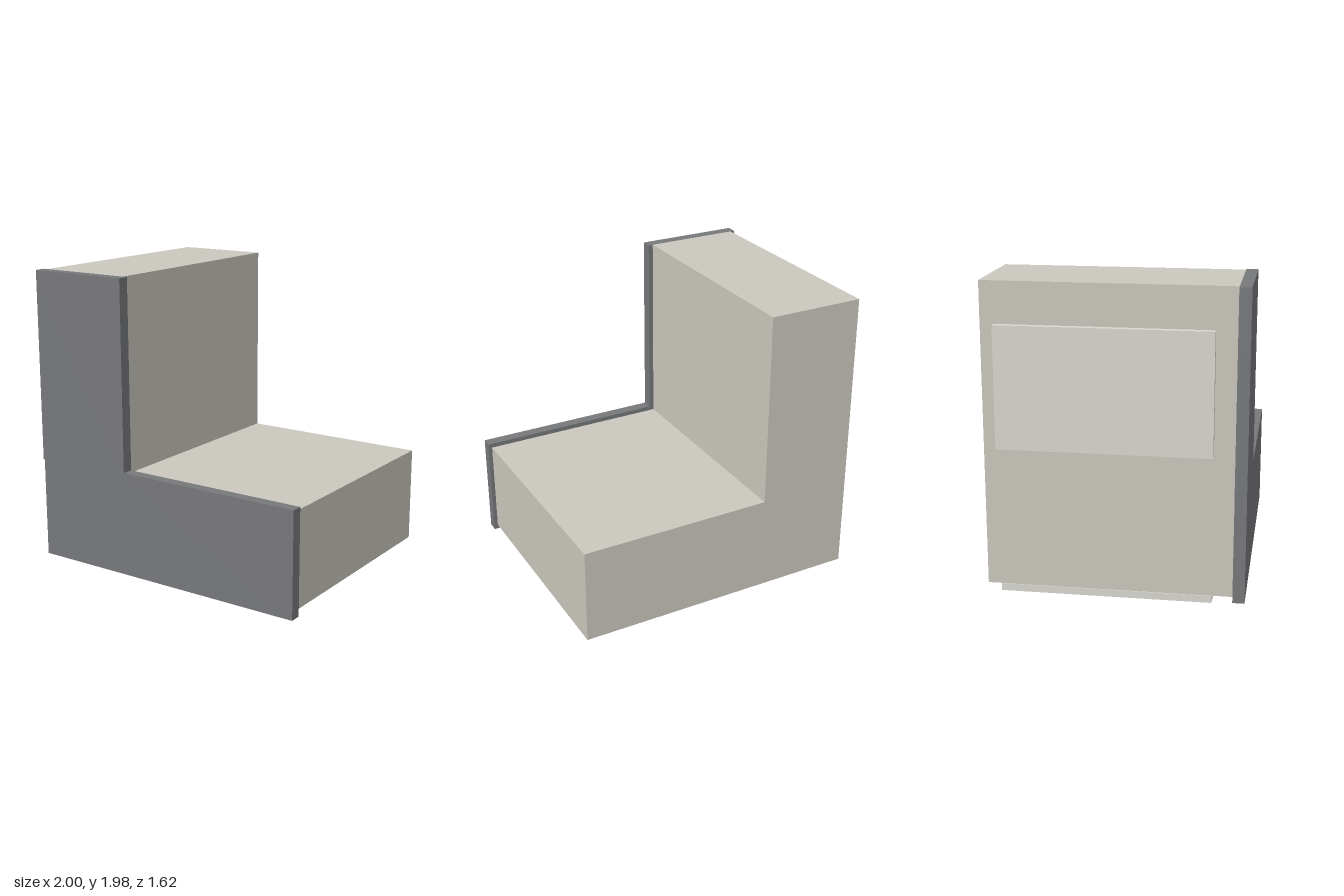
import * as THREE from 'three';

const material = (color) => new THREE.MeshStandardMaterial({ color, flatShading: true });

// Extrude an outline in the xy plane between two depths
function slab(name, points, zBack, zFront, mat) {
  const shape = new THREE.Shape(points.map(([x, y]) => new THREE.Vector2(x, y)));
  const geometry = new THREE.ExtrudeGeometry(shape, { depth: zFront - zBack, bevelEnabled: false });
  geometry.translate(0, 0, zBack);
  const mesh = new THREE.Mesh(geometry, mat);
  mesh.name = name;
  return mesh;
}

// Box given by its lowest and highest corners
function plate(name, min, max, mat) {
  const size = max.map((v, i) => v - min[i]);
  const mesh = new THREE.Mesh(new THREE.BoxGeometry(...size), mat);
  mesh.position.set(...min.map((v, i) => v + size[i] / 2));
  mesh.name = name;
  return mesh;
}

export function createModel() {
  const group = new THREE.Group();
  group.name = 'steppedBlock';
  const bodyMat = material(0xcbc7be);
  const panelMat = material(0x77787b);
  const plateMat = material(0xd8d7d1);

  // L-shaped main body
  group.add(slab('body', [
    [-0.953, 0.05], [0.975, 0.05], [0.975, 0.69], [-0.315, 0.69], [-0.315, 1.98], [-0.953, 1.98],
  ], -0.81, 0.735, bodyMat));

  // Dark front panel, slightly larger, with a small notch on its outer edge
  group.add(slab('frontPanel', [
    [-0.975, 0.02], [1, 0.02], [1, 0.72], [-0.283, 0.72], [-0.283, 1.98],
    [-0.985, 1.98], [-0.985, 0.695], [-0.975, 0.695],
  ], 0.735, 0.81, panelMat));

  // Thin pads on the outer side and underneath
  group.add(plate('sidePad', [-1, 0.95, -0.725], [-0.957, 1.72, 0.605], plateMat));
  group.add(plate('bottomPad', [-0.95, 0, -0.725], [-0.18, 0.046, 0.605], plateMat));

  return group;
}
